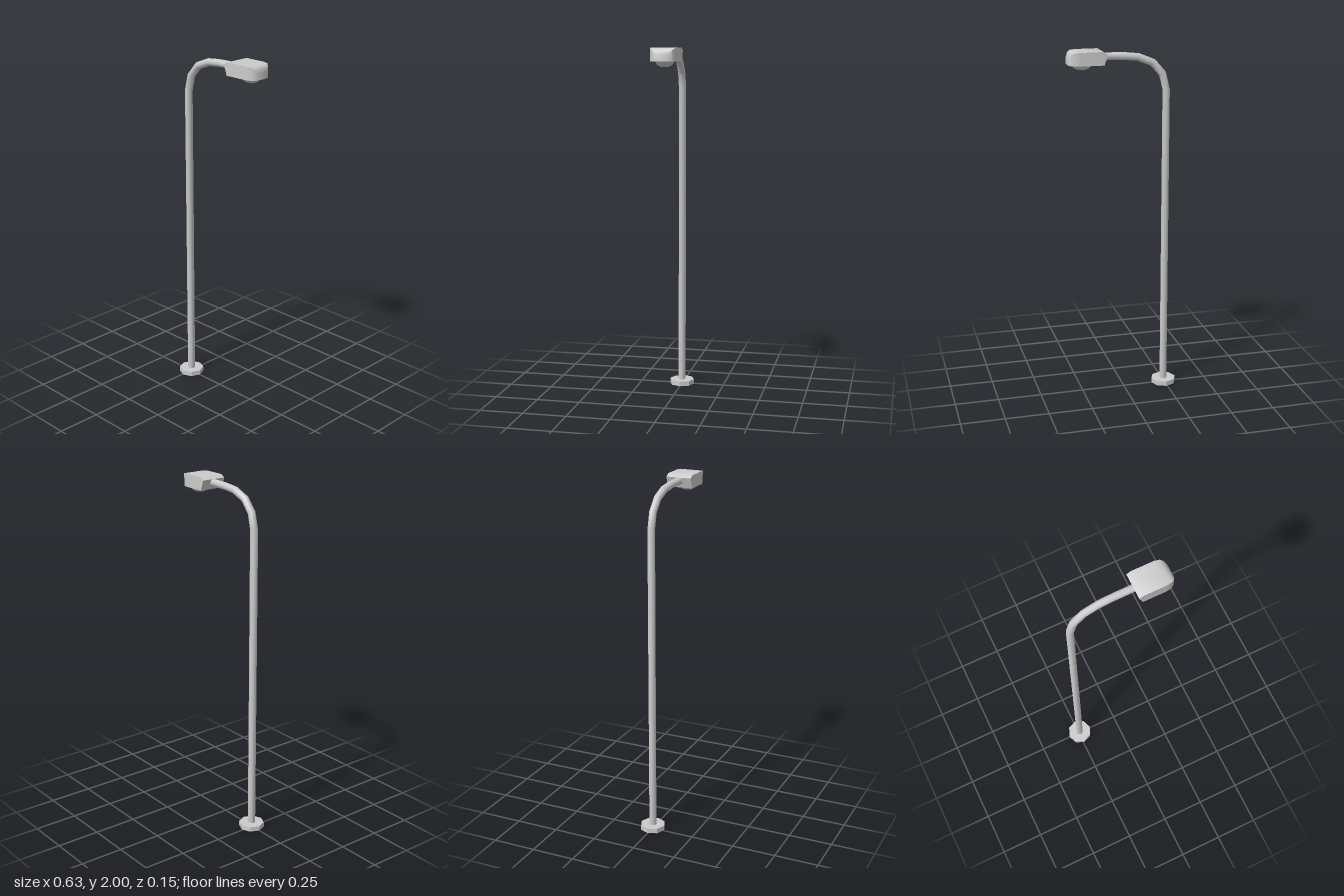
import * as THREE from 'three';
import { toCreasedNormals } from 'three/addons/utils/BufferGeometryUtils.js';

const POLE_X = -0.243;

// Skins a list of equal-length point rings, each ordered counter-clockwise about the sweep direction, and caps both ends.
function loft(rings, crease) {
  const n = rings[0].length;
  const last = (rings.length - 1) * n;
  const index = [];
  for (let i = 0; i < rings.length - 1; i++) {
    for (let j = 0; j < n; j++) {
      const a = i * n + j;
      const b = i * n + (j + 1) % n;
      index.push(a, b, b + n, a, b + n, a + n);
    }
  }
  for (let j = 1; j < n - 1; j++) {
    index.push(0, j + 1, j, last, last + j, last + j + 1);
  }
  const geometry = new THREE.BufferGeometry();
  geometry.setAttribute('position', new THREE.Float32BufferAttribute(rings.flat(2), 3));
  geometry.setIndex(index);
  geometry.computeVertexNormals();
  return toCreasedNormals(geometry, crease);
}

export function createModel() {
  const group = new THREE.Group();
  const material = new THREE.MeshStandardMaterial({ color: 0xcccccc });
  const add = (name, geometry) => {
    const mesh = new THREE.Mesh(geometry, material);
    mesh.name = name;
    group.add(mesh);
    return mesh;
  };

  // Octagonal foot plate, corners on the axes
  const base = add('basePlate', toCreasedNormals(new THREE.CylinderGeometry(0.072, 0.072, 0.028, 8), 0.6));
  base.position.set(POLE_X, 0.014, 0);

  // Pole and curved arm: x, y, lean from vertical in degrees
  const path = [
    [POLE_X, 0.002, 0],
    [POLE_X, 1.77, 6],
    [-0.221, 1.858, 27],
    [-0.164, 1.922, 52],
    [-0.08, 1.955, 75],
    [0.0, 1.963, 86],
    [0.14, 1.966, 90],
  ];
  const poleRings = path.map(([x, y, lean]) => {
    const a = THREE.MathUtils.degToRad(lean);
    return Array.from({ length: 8 }, (_, k) => {
      const t = k * Math.PI / 4;
      const out = 0.0215 * Math.cos(t);
      return [x - out * Math.cos(a), y + out * Math.sin(a), 0.0215 * Math.sin(t)];
    });
  });
  add('poleAndArm', loft(poleRings, 0.9));

  // Lamp head: top x, bottom x, top y, half width
  const bottom = 1.927;
  const stations = [
    [0.105, 0.125, 1.985, 0.073],
    [0.13, 0.13, 2.0, 0.073],
    [0.255, 0.255, 2.0, 0.073],
    [0.285, 0.285, 1.998, 0.068],
    [0.304, 0.304, 1.988, 0.054],
    [0.315, 0.315, 1.965, 0.035],
  ];
  const headRings = stations.map(([xt, xb, y, w]) => [
    [xt, y, w], [xb, bottom, w], [xb, bottom, -w], [xt, y, -w],
  ]);
  add('lampHead', loft(headRings, 0.7));

  // Shallow glass bowl under the head
  const profile = [[0, -0.029], [0.027, -0.028], [0.046, -0.018], [0.06, 0.001]]
    .map(([r, y]) => new THREE.Vector2(r, y));
  const lens = add('lampLens', new THREE.LatheGeometry(profile, 8));
  lens.position.set(0.235, bottom, 0);
  lens.scale.z = 0.9;

  return group;
}
